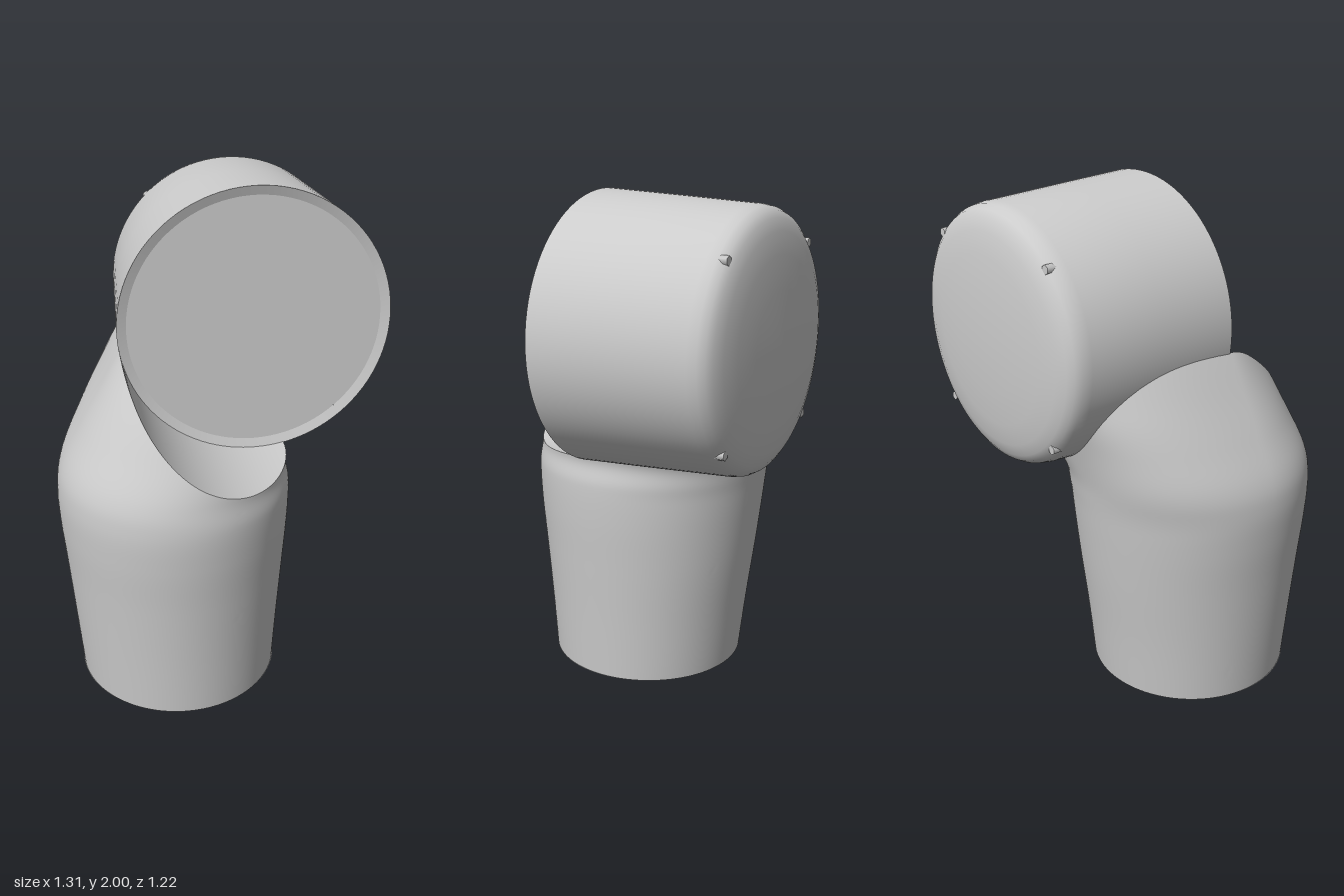
import * as THREE from 'three';
import { toCreasedNormals } from 'three/addons/utils/BufferGeometryUtils.js';

const AX = 0.13, AY = 1.473;   // axis of the drum, along z
const ZC = 0.135;              // depth of the widest line of the lower arm
const grey = new THREE.MeshStandardMaterial({ color: 0xcccccc });
const greyDouble = new THREE.MeshStandardMaterial({ color: 0xcccccc, side: THREE.DoubleSide });

const drumRadius = z => 0.527 - (0.13 - Math.min(z, 0.13)) * 0.055;

function lathe(points, crease = 0.6) {
  const g = new THREE.LatheGeometry(points.map(p => new THREE.Vector2(...p)), 96);
  return toCreasedNormals(g, crease);
}

function add(group, name, geometry, material = grey) {
  const mesh = new THREE.Mesh(geometry, material);
  mesh.name = name;
  group.add(mesh);
  return mesh;
}

// Lower arm: leaning rings that stop at the drum, closed by a saddle of drum radius
function armGeometry() {
  // y, left x, right x, front z, back z
  const rings = [
    [0, -0.595, 0.215, 0.55, -0.27], [0.25, -0.615, 0.23, 0.567, -0.3],
    [0.5, -0.635, 0.247, 0.587, -0.335], [0.7, -0.652, 0.26, 0.605, -0.36],
    [0.85, -0.655, 0.262, 0.61, -0.378], [0.96, -0.632, 0.25, 0.592, -0.395],
    [1.1, -0.56, 0.32, 0.55, -0.43], [1.25, -0.475, 0.4, 0.5, -0.48],
    [1.4, -0.391, 0.51, 0.42, -0.52], [1.55, -0.3, 0.6, 0.36, -0.54],
  ];
  const lo = new THREE.CatmullRomCurve3(
    rings.map(r => new THREE.Vector3(r[1], r[0], r[3])), false, 'catmullrom');
  const hi = new THREE.CatmullRomCurve3(
    rings.map(r => new THREE.Vector3(r[2], r[0], r[4])), false, 'catmullrom');

  const surface = (angle, t) => {
    const a = lo.getPoint(t), b = hi.getPoint(t);
    const c = Math.cos(angle), s = Math.sin(angle);
    // the upper back is squarer than an ellipse
    const n = s < 0 ? 2 + 0.7 * THREE.MathUtils.smoothstep(a.y, 0.8, 1.25) : 2;
    const px = Math.sign(c) * Math.abs(c) ** (2 / n);
    const pz = Math.sign(s) * Math.abs(s) ** (2 / n);
    return new THREE.Vector3((a.x + b.x) / 2 + (b.x - a.x) / 2 * px, a.y,
      ZC + pz * (s > 0 ? a.z - ZC : ZC - b.z));
  };
  const inside = p => Math.hypot(p.x - AX, p.y - AY) < drumRadius(p.z) - 0.002;

  const N = 144, M = 48, K = 16;
  const columns = [], edge = [];
  for (let i = 0; i < N; i++) {
    const angle = i / N * Math.PI * 2;
    // find where this column meets the drum
    let end = 0.4;
    while (end < 1 && !inside(surface(angle, end))) end += 0.005;
    let start = end - 0.005;
    for (let k = 0; k < 14; k++) {
      const mid = (start + end) / 2;
      if (inside(surface(angle, mid))) end = mid; else start = mid;
    }
    const column = [];
    for (let j = 0; j <= M; j++) column.push(surface(angle, start * j / M));
    columns.push(column);
    const p = column[M];
    edge.push([Math.atan2(p.x - AX, AY - p.y), p.z]);
  }
  // saddle, drawn in to its middle on the drum surface
  const midPhi = edge.reduce((s, e) => s + e[0], 0) / N;
  const midZ = edge.reduce((s, e) => s + e[1], 0) / N;
  columns.forEach((column, i) => {
    for (let k = 1; k <= K; k++) {
      const phi = THREE.MathUtils.lerp(edge[i][0], midPhi, k / K);
      const z = THREE.MathUtils.lerp(edge[i][1], midZ, k / K);
      const r = drumRadius(z) - 0.002;
      column.push(new THREE.Vector3(AX + r * Math.sin(phi), AY - r * Math.cos(phi), z));
    }
  });

  const rows = M + K + 1, positions = [], index = [];
  columns.forEach(col => col.forEach(p => positions.push(p.x, p.y, p.z)));
  for (let i = 0; i < N; i++) {
    for (let j = 0; j < rows - 1; j++) {
      const a = i * rows + j, b = ((i + 1) % N) * rows + j;
      index.push(a, a + 1, b, b, a + 1, b + 1);
    }
  }
  const g = new THREE.BufferGeometry();
  g.setAttribute('position', new THREE.Float32BufferAttribute(positions, 3));
  g.setIndex(index);
  return toCreasedNormals(g, 0.6);
}

export function createModel() {
  const model = new THREE.Group();
  model.name = 'jointedArm';

  add(model, 'lowerArm', armGeometry(), greyDouble);

  // Stepped mounting socket under the arm
  const socket = add(model, 'mountingSocket', lathe([
    [0.407, 0], [0.385, 0], [0.385, 0.02], [0.31, 0.02], [0.31, 0.17], [0, 0.17],
  ]), greyDouble);
  socket.position.set(-0.19, 0, 0.14);

  // Drum with a domed back and a plain front
  const drum = new THREE.Group();
  drum.name = 'drum';
  drum.position.set(AX, AY, 0);
  model.add(drum);
  add(drum, 'drumShell', lathe([
    [0, -0.61], [0.2, -0.604], [0.32, -0.594], [0.4, -0.582], [0.445, -0.567],
    [0.47, -0.55], [0.485, -0.525], [0.492, -0.49], [0.51, -0.18], [0.527, 0.13],
    [0.49, 0.118],
  ]).rotateX(Math.PI / 2), greyDouble);
  const face = add(drum, 'frontFace', new THREE.CircleGeometry(0.491, 48));
  face.position.z = 0.118;

  // Screws around the back rim
  for (let i = 0; i < 4; i++) {
    const a = Math.PI / 4 + i * Math.PI / 2;
    const screw = add(drum, 'rimScrew',
      new THREE.CylinderGeometry(0.018, 0.018, 0.04, 6).rotateX(Math.PI / 2));
    screw.position.set(0.468 * Math.cos(a), 0.468 * Math.sin(a), -0.54);
  }
  return model;
}
